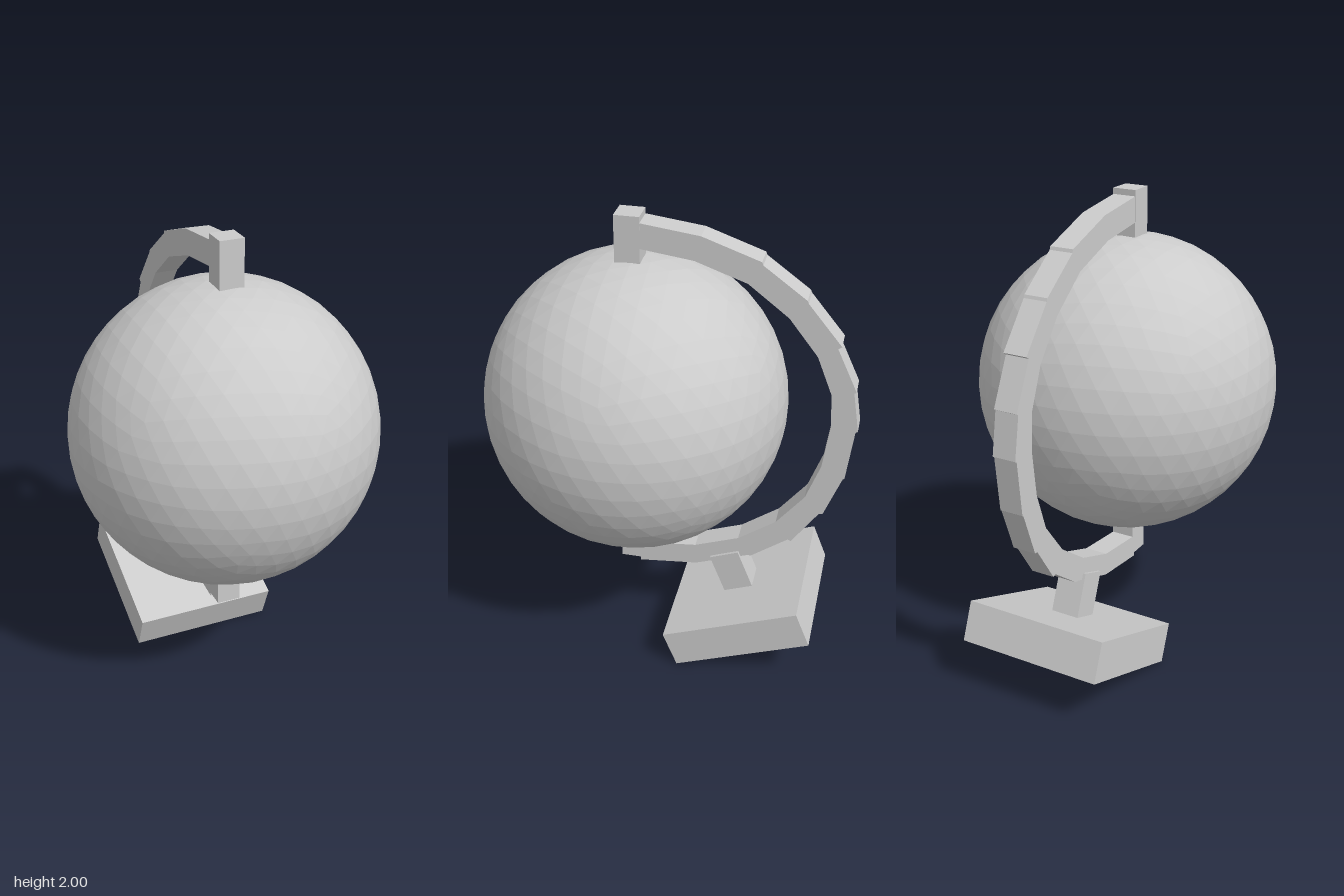
import * as THREE from 'three';

const material = new THREE.MeshStandardMaterial({ color: 0xcccccc, flatShading: true });

function addMesh(parent, name, geometry, x, y, z) {
  const mesh = new THREE.Mesh(geometry, material);
  mesh.name = name;
  mesh.position.set(x, y, z);
  parent.add(mesh);
  return mesh;
}

// Half-ring outline seen from the side: u points to the back, v up.
function armGeometry(width) {
  const outer = [
    [-0.13, 1.977], [0.125, 1.945], [0.36, 1.863], [0.365, 1.85], [0.54, 1.722],
    [0.545, 1.71], [0.685, 1.54], [0.67, 1.53], [0.757, 1.345], [0.748, 1.34],
    [0.777, 1.165], [0.768, 1.16], [0.742, 0.93], [0.735, 0.925], [0.665, 0.735],
    [0.65, 0.735], [0.54, 0.57], [0.525, 0.575], [0.37, 0.46], [0.35, 0.458],
    [0.125, 0.375], [-0.13, 0.348],
  ];
  const inner = [
    [-0.13, 0.448], [0.12, 0.475], [0.31, 0.546], [0.47, 0.662], [0.585, 0.81],
    [0.643, 0.975], [0.668, 1.17], [0.66, 1.32], [0.595, 1.485], [0.475, 1.64],
    [0.31, 1.768], [0.1, 1.842], [-0.13, 1.872],
  ];
  const shape = new THREE.Shape([...outer, ...inner].map(([u, v]) => new THREE.Vector2(u, v)));
  return new THREE.ExtrudeGeometry(shape, { depth: width, bevelEnabled: false })
    .translate(0, 0, -width / 2)
    .rotateY(Math.PI / 2);
}

export function createModel() {
  const model = new THREE.Group();
  model.name = 'deskGlobe';

  // Faceted ball, turned so that a vertex sits on the pole
  const ball = new THREE.IcosahedronGeometry(0.632, 7).rotateZ(-Math.atan(2 / (1 + Math.sqrt(5))));
  addMesh(model, 'globeBall', ball, 0, 1.18, 0.148);

  // Pivot posts above and below the ball
  const post = new THREE.BoxGeometry(0.102, 0.25, 0.102);
  addMesh(model, 'topPivot', post, 0, 1.875, 0.164);
  addMesh(model, 'bottomPivot', post, 0, 0.49, 0.164);

  // Curved support arm behind the ball
  addMesh(model, 'supportArm', armGeometry(0.1), 0, 0, 0);

  // Tilted foot with its stem
  const foot = new THREE.Group();
  foot.name = 'foot';
  foot.position.set(0, 0.195, -0.352);
  foot.rotation.x = 0.375;
  addMesh(foot, 'base', new THREE.BoxGeometry(0.63, 0.17, 0.62), 0, 0, 0);
  addMesh(foot, 'stem', new THREE.BoxGeometry(0.125, 0.21, 0.132), 0, 0.17, 0);
  model.add(foot);

  return model;
}
